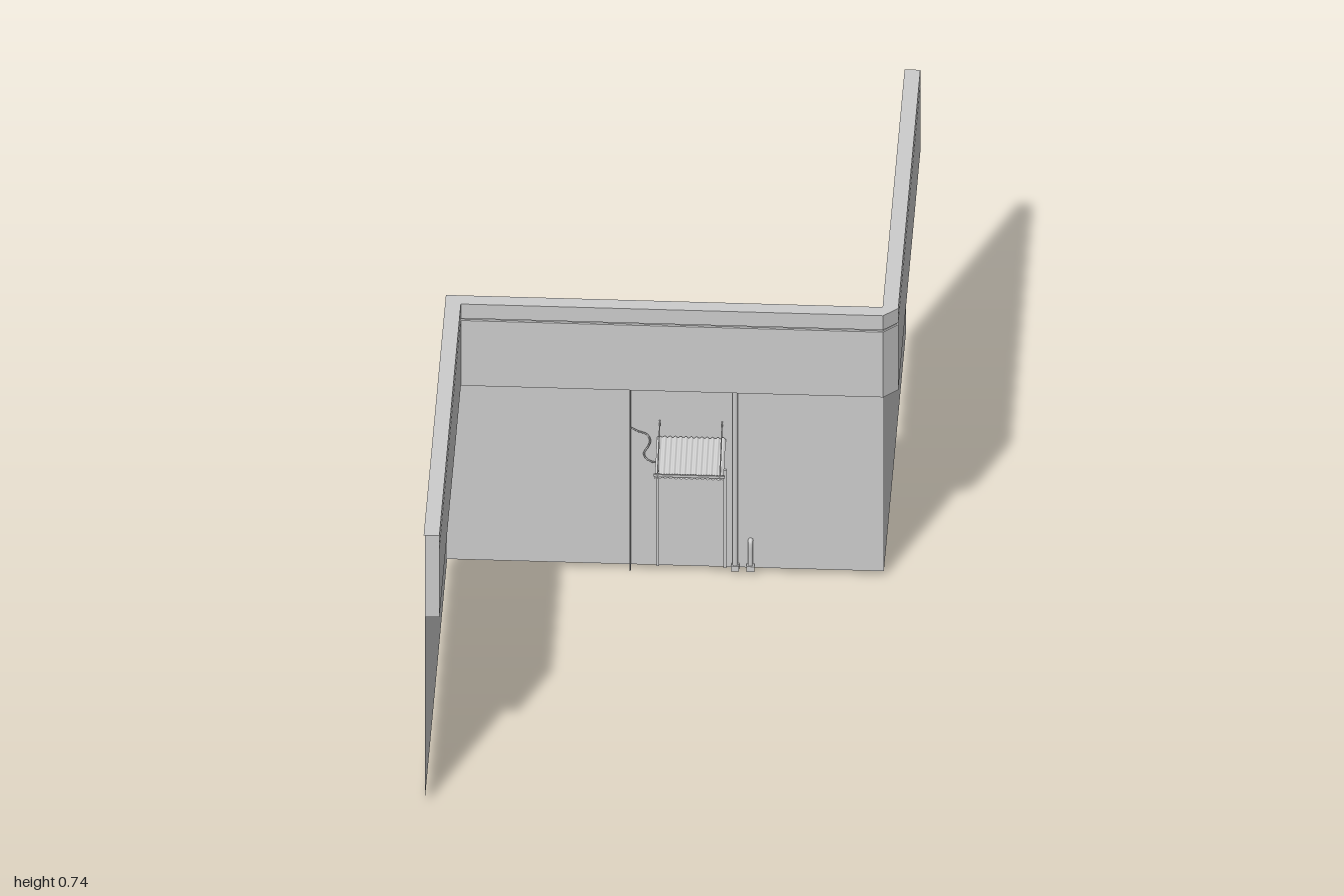
import * as THREE from 'three';

const mat = new THREE.MeshStandardMaterial({ color: 0xcccccc, side: THREE.DoubleSide, flatShading: true });
const smooth = new THREE.MeshStandardMaterial({ color: 0xcccccc, side: THREE.DoubleSide });

// Plan of the wall: base point (x, z) and the outward direction used for offsets.
const plan = [
  { p: [-0.515, 1], o: [1, 0] },
  { p: [-0.515, 0], o: [1, 1] },
  { p: [0.485, 0], o: [0, 1] },
  { p: [0.485, 0], o: [1, 0] },
  { p: [0.485, -0.995], o: [1, 0] },
];

// Sweeps a profile of (offset, height) points along the plan.
function sweep(profile) {
  const at = (c, [d, y]) => [c.p[0] + c.o[0] * d, y, c.p[1] + c.o[1] * d];
  const pos = [];
  for (let i = 0; i < plan.length - 1; i++) {
    for (let j = 0; j < profile.length - 1; j++) {
      const a = at(plan[i], profile[j]), b = at(plan[i + 1], profile[j]);
      const c = at(plan[i + 1], profile[j + 1]), d = at(plan[i], profile[j + 1]);
      pos.push(...a, ...b, ...c, ...a, ...c, ...d);
    }
  }
  const g = new THREE.BufferGeometry();
  g.setAttribute('position', new THREE.Float32BufferAttribute(pos, 3));
  g.computeVertexNormals();
  return g;
}

export function createModel() {
  const model = new THREE.Group();
  const add = (name, geo, x = 0, y = 0, z = 0, m = mat, parent = model) => {
    const mesh = new THREE.Mesh(geo, m);
    mesh.name = name;
    mesh.position.set(x, y, z);
    parent.add(mesh);
    return mesh;
  };
  const box = (name, w, h, d, x, y, z, parent) =>
    add(name, new THREE.BoxGeometry(w, h, d), x, y, z, mat, parent);
  const tube = (name, pts, r, parent, sides = 8) => {
    const curve = new THREE.CatmullRomCurve3(pts.map(p => new THREE.Vector3(...p)));
    const n = pts.length > 2 ? 40 : 1;
    return add(name, new THREE.TubeGeometry(curve, n, r, sides), 0, 0, 0, smooth, parent);
  };

  // Thin three-sided wall and the hollow overhanging fascia above it
  add('wall', sweep([[0, 0.015], [0, 0.512]]));
  add('fascia', sweep([
    [0, 0.512], [0.033, 0.512], [0.033, 0.69], [0.029, 0.691],
    [0.029, 0.695], [0.033, 0.696], [0.033, 0.735], [-0.003, 0.735],
  ]));
  const capGeo = new THREE.PlaneGeometry(0.033, 0.223);
  add('fasciaEndLeft', capGeo, -0.4985, 0.6235, 1);
  add('fasciaEndRight', capGeo, 0.5015, 0.6235, -0.995);

  // Door frame
  const door = new THREE.Group();
  door.name = 'doorFrame';
  model.add(door);
  for (const x of [-0.0325, 0.1215]) box('doorJamb', 0.006, 0.266, 0.006, x, 0.148, 0.002, door);
  box('doorLintel', 0.16, 0.006, 0.006, 0.0445, 0.279, 0.002, door);

  // Corrugated awning, sloping down from the wall
  const awning = new THREE.Group();
  awning.name = 'awning';
  model.add(awning);
  const sheet = new THREE.PlaneGeometry(0.158, 1, 104, 1);
  const p = sheet.attributes.position;
  for (let i = 0; i < p.count; i++) {
    const x = p.getX(i), t = 0.5 - p.getY(i);
    const wave = 0.002 * Math.cos((x / 0.158) * 26 * Math.PI);
    p.setXYZ(i, x, 0.369 - 0.046 * t + wave, 0.004 + 0.104 * t);
  }
  sheet.computeVertexNormals();
  add('awningSheet', sheet, 0.0445, 0, 0, smooth, awning);
  box('awningFrontBar', 0.164, 0.006, 0.004, 0.0445, 0.329, 0.105, awning);
  for (const x of [-0.028, 0.115]) {
    tube('awningStay', [[x, 0.408, 0.002], [x, 0.33, 0.108]], 0.0015, awning);
    tube('awningRafter', [[x, 0.365, 0.002], [x, 0.321, 0.106]], 0.0015, awning);
    box('stayBracket', 0.004, 0.009, 0.005, x, 0.407, 0.002, awning);
  }

  // Light bar above the door with its loose cable
  tube('lightBar', [[-0.028, 0.301, 0.006], [0.117, 0.301, 0.006]], 0.0025);
  for (const x of [-0.027, 0.115]) box('lightBracket', 0.004, 0.012, 0.01, x, 0.301, 0.004);
  tube('cable', [
    [-0.025, 0.298, 0.005], [-0.045, 0.299, 0.004], [-0.059, 0.308, 0.004], [-0.064, 0.322, 0.004],
    [-0.054, 0.342, 0.004], [-0.05, 0.358, 0.004], [-0.058, 0.374, 0.004], [-0.078, 0.382, 0.004],
    [-0.094, 0.391, 0.004],
  ], 0.002);
  box('conduit', 0.003, 0.518, 0.007, -0.096, 0.259, 0.003);

  // Downpipe with collars
  tube('downpipe', [[0.145, 0.012, 0.006], [0.145, 0.514, 0.006]], 0.0065, model, 12);
  box('downpipeTopCollar', 0.018, 0.01, 0.016, 0.145, 0.509, 0.006);
  box('downpipeFoot', 0.018, 0.014, 0.016, 0.145, 0.019, 0.006);

  // Short vent pipe that bends into the wall
  tube('ventPipe', [
    [0.18, 0.012, 0.006], [0.18, 0.045, 0.006], [0.18, 0.08, 0.006],
    [0.18, 0.088, 0.004], [0.18, 0.091, -0.003],
  ], 0.006, model, 12);
  box('ventFoot', 0.018, 0.014, 0.016, 0.18, 0.019, 0.006);

  return model;
}
